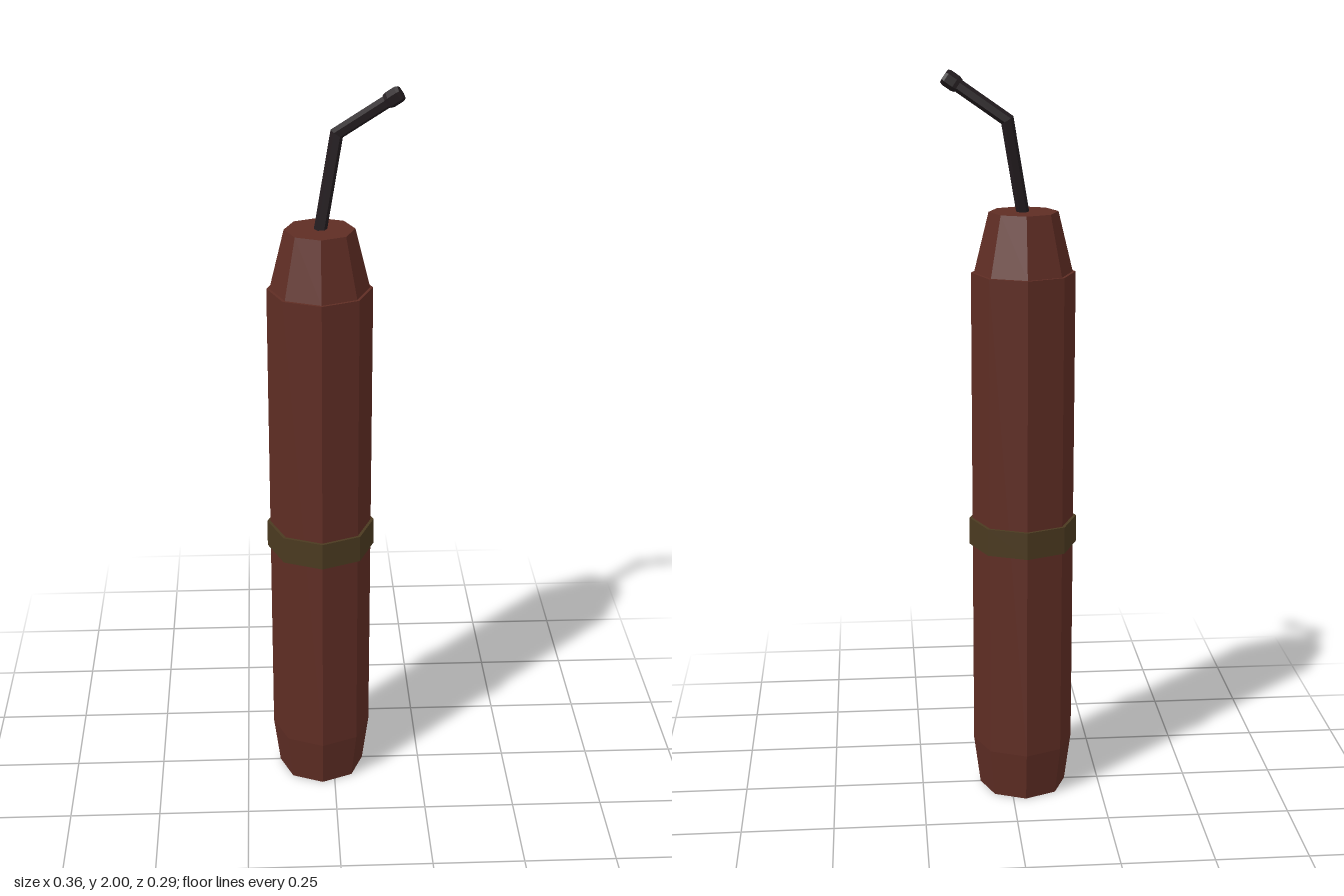
import * as THREE from 'three';

const paper = new THREE.MeshStandardMaterial({ name: 'red paper', color: 0x5f2d24, flatShading: true });
const strap = new THREE.MeshStandardMaterial({ name: 'olive strap', color: 0x4b3a20, flatShading: true });
const cord = new THREE.MeshStandardMaterial({ name: 'black cord', color: 0x231c1f, flatShading: true });

const SIDES = 8, CENTRE_X = -0.035;

// Octagonal solid turned around the stick's axis, profile given bottom to top
function turned(name, profile, material) {
  const points = profile.map(([r, y]) => new THREE.Vector2(r, y));
  const mesh = new THREE.Mesh(new THREE.LatheGeometry(points, SIDES), material);
  mesh.name = name;
  mesh.position.x = CENTRE_X;
  return mesh;
}

// Six-sided rod through a path, with mitred bends and capped ends
function rod(name, path, radii, material) {
  const n = 6, last = path.length - 1;
  const dirs = path.slice(1).map((p, i) => p.clone().sub(path[i]).normalize());
  const side = new THREE.Vector3(0, 0, 1).cross(dirs[0]).normalize();
  const up = dirs[0].clone().cross(side);
  const positions = [], index = [];
  let ring = [];
  for (let j = 0; j < n; j++) {
    const a = (j / n) * Math.PI * 2;
    ring.push(side.clone().multiplyScalar(Math.cos(a)).addScaledVector(up, Math.sin(a)).multiplyScalar(radii[0]));
  }
  path.forEach((centre, i) => {
    if (i > 0) {
      // slide each corner along the segment onto the next mitre plane
      const d = dirs[i - 1];
      const normal = i < last ? d.clone().add(dirs[i]).normalize() : d;
      ring = ring.map((o) => o.clone().addScaledVector(d, -o.dot(normal) / d.dot(normal))
        .multiplyScalar(radii[i] / radii[i - 1]));
    }
    ring.forEach((o) => positions.push(centre.x + o.x, centre.y + o.y, centre.z + o.z));
    if (i > 0) {
      for (let j = 0; j < n; j++) {
        const a = (i - 1) * n + j, b = (i - 1) * n + ((j + 1) % n);
        index.push(a, b, b + n, a, b + n, a + n);
      }
    }
  });
  for (let j = 1; j < n - 1; j++) {
    index.push(0, j + 1, j);
    index.push(last * n, last * n + j, last * n + j + 1);
  }
  const geometry = new THREE.BufferGeometry();
  geometry.setAttribute('position', new THREE.Float32BufferAttribute(positions, 3));
  geometry.setIndex(index);
  geometry.computeVertexNormals();
  const mesh = new THREE.Mesh(geometry, material);
  mesh.name = name;
  return mesh;
}

export function createModel() {
  const model = new THREE.Group();
  model.name = 'fusedStick';

  // Body with tapered foot, small shoulder ledge and tapered top
  model.add(turned('body', [
    [0, 0], [0.12, 0], [0.138, 0.138], [0.139, 1.475], [0.131, 1.475], [0.092, 1.635], [0, 1.635],
  ], paper));

  // Strap around the middle
  model.add(turned('strap', [
    [0.136, 0.72], [0.147, 0.72], [0.147, 0.795], [0.136, 0.795],
  ], strap));

  // Bent fuse
  const base = new THREE.Vector3(-0.037, 1.61, 0.002);
  const bend = new THREE.Vector3(0.01, 1.875, -0.032);
  const end = new THREE.Vector3(0.145, 1.968, -0.008);
  model.add(rod('fuse', [base, bend, end], [0.017, 0.017, 0.017], cord));

  // Thicker fuse tip
  const along = end.clone().sub(bend).normalize();
  const at = (t) => end.clone().addScaledVector(along, t);
  model.add(rod('fuseTip', [at(-0.014), at(-0.004), at(0.022), at(0.03)], [0.019, 0.022, 0.022, 0.019], cord));

  return model;
}
